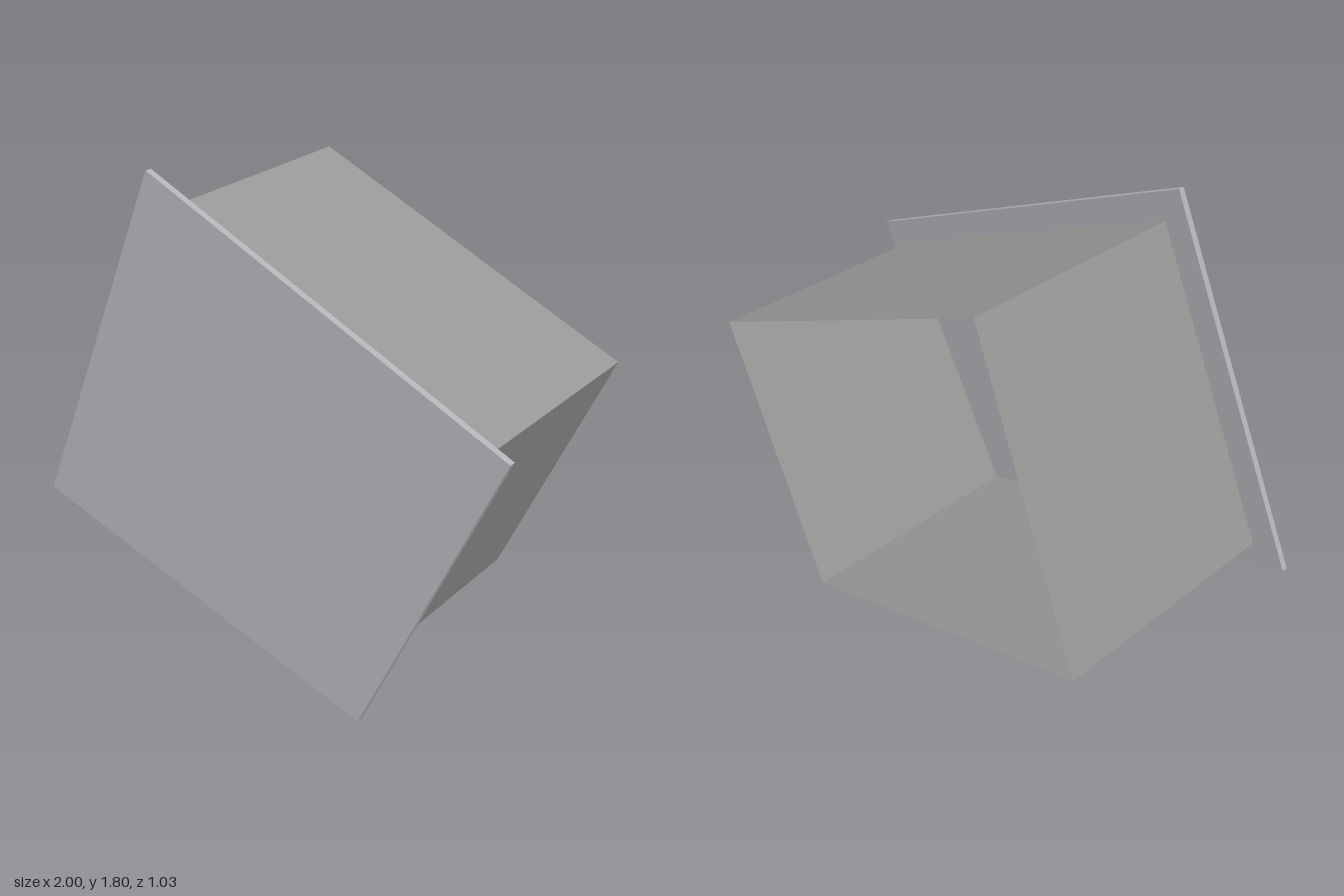
import * as THREE from 'three';

const panelGrey = new THREE.MeshStandardMaterial({ color: 0xb4b1b7 });
const shellGrey = new THREE.MeshStandardMaterial({ color: 0x989996, side: THREE.DoubleSide });

// Flat-faced mesh from a list of quads, corners counter-clockwise seen from outside
function quadMesh(name, quads, material) {
  const points = quads.flatMap(([a, b, c, d]) => [a, b, c, a, c, d]);
  const geometry = new THREE.BufferGeometry();
  geometry.setAttribute('position', new THREE.Float32BufferAttribute(points.flat(), 3));
  geometry.computeVertexNormals();
  const mesh = new THREE.Mesh(geometry, material);
  mesh.name = name;
  return mesh;
}

// Side walls joining a back loop to a front loop
function walls(back, front) {
  return back.map((p, i) => {
    const j = (i + 1) % back.length;
    return [p, back[j], front[j], front[i]];
  });
}

export function createModel() {
  const group = new THREE.Group();
  group.name = 'tiltedPanelBox';

  // Leaning front panel: top, left, bottom and right corners
  const panelFront = [[-0.47, 1.8, 0.42], [-1, 0.42, 0.515], [0.5, 0, 0.5], [1, 1.18, 0.42]];
  const panelBack = panelFront.map(([x, y, z]) => [x, y, z - 0.025]);
  group.add(quadMesh('frontPanel', [
    panelFront,
    [...panelBack].reverse(),
    ...walls(panelBack, panelFront),
  ], panelGrey));

  // Thin open-backed shell behind the panel
  const outline = [[-0.42, 1.665, 0.4], [-0.865, 0.48, 0.483], [0.435, 0.125, 0.47], [0.87, 1.13, 0.4]];
  const rim = outline.map(([x, y]) => [x, y, -0.513]);
  group.add(quadMesh('openShell', walls(rim, outline), shellGrey));

  return group;
}
